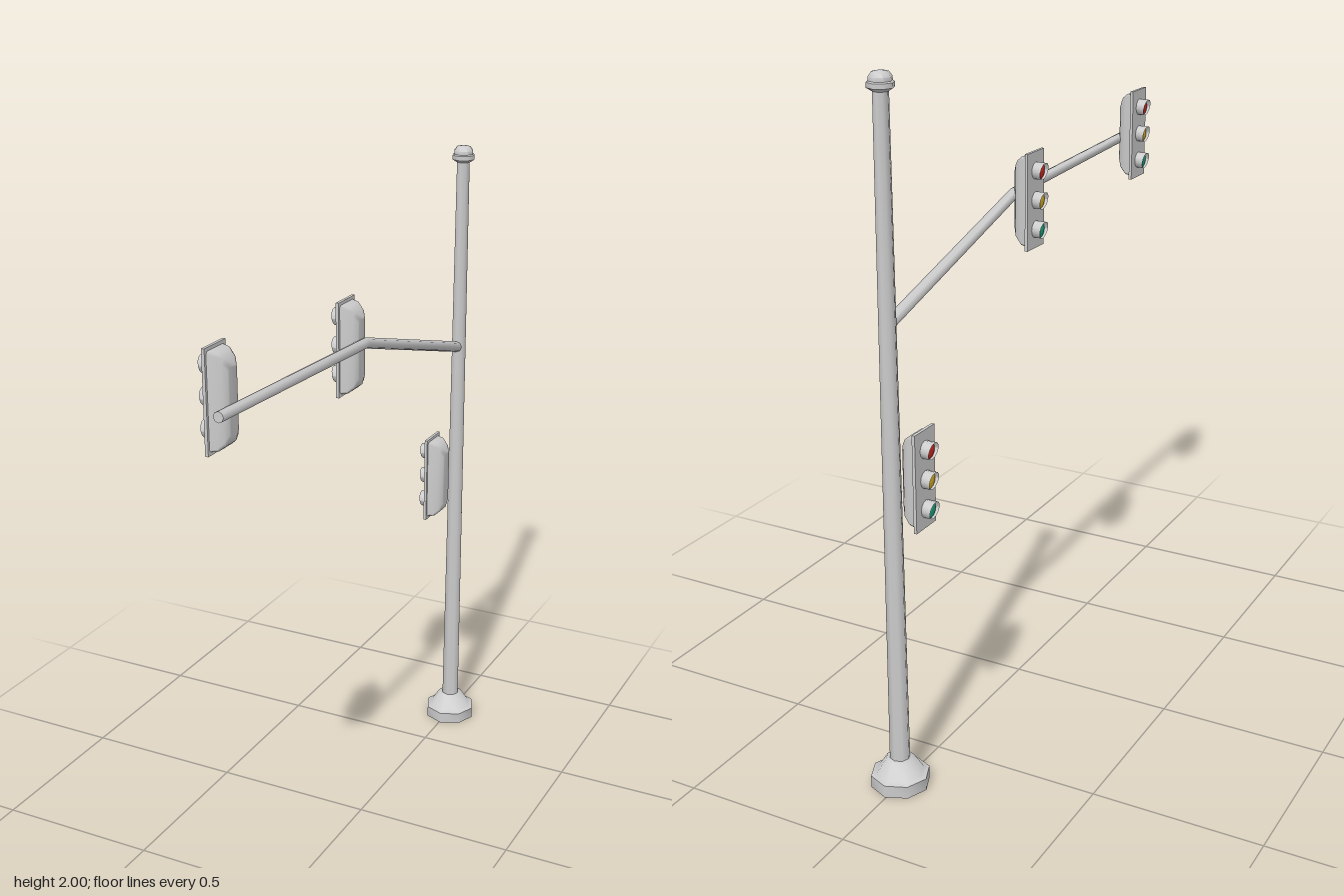
import * as THREE from 'three';
import { toCreasedNormals } from 'three/addons/utils/BufferGeometryUtils.js';

const POLE_X = 0.004;
const POLE_Z = -0.702;
const grey = new THREE.MeshStandardMaterial({ color: 0xcccccc });
const greyOpen = new THREE.MeshStandardMaterial({ color: 0xcccccc, side: THREE.DoubleSide });
const lensMaterials = [0xd02a22, 0xd8b028, 0x1fa880].map(
  (color) => new THREE.MeshStandardMaterial({ color }));

function add(parent, name, geometry, material, x = 0, y = 0, z = 0) {
  const mesh = new THREE.Mesh(geometry, material);
  mesh.name = name;
  mesh.position.set(x, y, z);
  parent.add(mesh);
}

// Eight-sided turned part from [radius, height] pairs
function turned(points) {
  const profile = points.map(([r, y]) => new THREE.Vector2(r, y));
  return toCreasedNormals(new THREE.LatheGeometry(profile, 8), 0.9);
}

// Skin over eight-point rings, closed at the last ring
function skin(positions) {
  const index = [];
  const last = positions.length / 3 - 8;
  for (let ring = 0; ring < last; ring += 8) {
    for (let i = 0; i < 8; i++) {
      const a = ring + i, b = ring + (i + 1) % 8;
      index.push(a, b, a + 8, b, b + 8, a + 8);
    }
  }
  for (let i = 1; i < 7; i++) index.push(last, last + i, last + i + 1);
  const geometry = new THREE.BufferGeometry();
  geometry.setAttribute('position', new THREE.Float32BufferAttribute(positions, 3));
  geometry.setIndex(index);
  geometry.computeVertexNormals();
  return geometry;
}

// Domed housing lofted through chamfered rectangles [x, halfHeight, halfDepth, chamfer]
function housingGeometry() {
  const sections = [
    [-0.052, 0.131, 0.043, 0.006], [-0.030, 0.127, 0.041, 0.008],
    [-0.013, 0.113, 0.034, 0.010], [-0.003, 0.090, 0.022, 0.008],
  ];
  const positions = [];
  for (const [x, h, d, c] of sections) {
    const ring = [[h, d - c], [h - c, d], [c - h, d], [-h, d - c],
      [-h, c - d], [c - h, -d], [h - c, -d], [h, c - d]];
    for (const [y, z] of ring) positions.push(x, y, z);
  }
  return skin(positions);
}

// Eight-sided arm with mitred rings at each path point
function armGeometry() {
  const path = [[1.355, -0.70], [1.553, -0.02], [1.585, 0.785]]
    .map(([y, z]) => new THREE.Vector3(POLE_X, y, z));
  const radii = [0.017, 0.016, 0.015];
  const positions = [];
  path.forEach((p, k) => {
    const before = path[Math.max(k - 1, 0)], after = path[Math.min(k + 1, 2)];
    const t = after.clone().sub(before).normalize();
    for (let i = 0; i < 8; i++) {
      const a = (i / 8) * Math.PI * 2, c = Math.cos(a) * radii[k], s = Math.sin(a) * radii[k];
      positions.push(p.x + c, p.y + s * t.z, p.z - s * t.y);
    }
  });
  return toCreasedNormals(skin(positions), 0.9);
}

// Open tube along -x whose mouth is cut back towards the bottom
function hoodGeometry() {
  const geometry = new THREE.CylinderGeometry(0.025, 0.025, 0.03, 12, 1, true);
  geometry.rotateZ(Math.PI / 2);
  const p = geometry.attributes.position;
  for (let i = 0; i < p.count; i++) {
    if (p.getX(i) < 0) p.setX(i, -0.012 - 0.18 * p.getY(i));
  }
  geometry.computeVertexNormals();
  return geometry;
}

// Shallow dome facing -x
function lensGeometry() {
  const geometry = new THREE.SphereGeometry(0.0245, 12, 4, 0, Math.PI * 2, 0, Math.PI / 2);
  geometry.scale(1, 0.3, 1);
  geometry.rotateZ(Math.PI / 2);
  return geometry;
}

const housing = housingGeometry();
const backPlate = new THREE.BoxGeometry(0.009, 0.28, 0.1);
const hood = hoodGeometry();
const lens = lensGeometry();

function createSignal(y, z) {
  const signal = new THREE.Group();
  signal.name = 'signal';
  signal.position.set(0, y, z);
  add(signal, 'housing', housing, grey);
  add(signal, 'backPlate', backPlate, grey, -0.055);
  [0.085, 0, -0.085].forEach((dy, i) => {
    add(signal, 'hood', hood, greyOpen, -0.074, dy);
    add(signal, 'lens', lens, lensMaterials[i], -0.073, dy);
  });
  return signal;
}

export function createModel() {
  const model = new THREE.Group();
  model.name = 'trafficLightPole';

  // Hollow foot, tapering shaft and ball cap
  add(model, 'base', turned([[0.084, 0], [0.084, 0.036], [0.068, 0.04],
    [0.04, 0.083], [0.024, 0.086]]), greyOpen, POLE_X, 0, POLE_Z);
  add(model, 'pole', turned([[0.029, 0.08], [0.021, 1.957]]), grey, POLE_X, 0, POLE_Z);
  add(model, 'poleCap', turned([[0.02, 1.948], [0.036, 1.958], [0.036, 1.971], [0.031, 1.974],
    [0.031, 1.984], [0.022, 1.996], [0, 2]]), grey, POLE_X, 0, POLE_Z);

  add(model, 'arm', armGeometry(), grey);

  // Two signals on the arm, one on the pole
  for (const [y, z] of [[1.6, 0.70], [1.537, -0.01], [0.918, -0.637]]) {
    model.add(createSignal(y, z));
  }
  return model;
}
